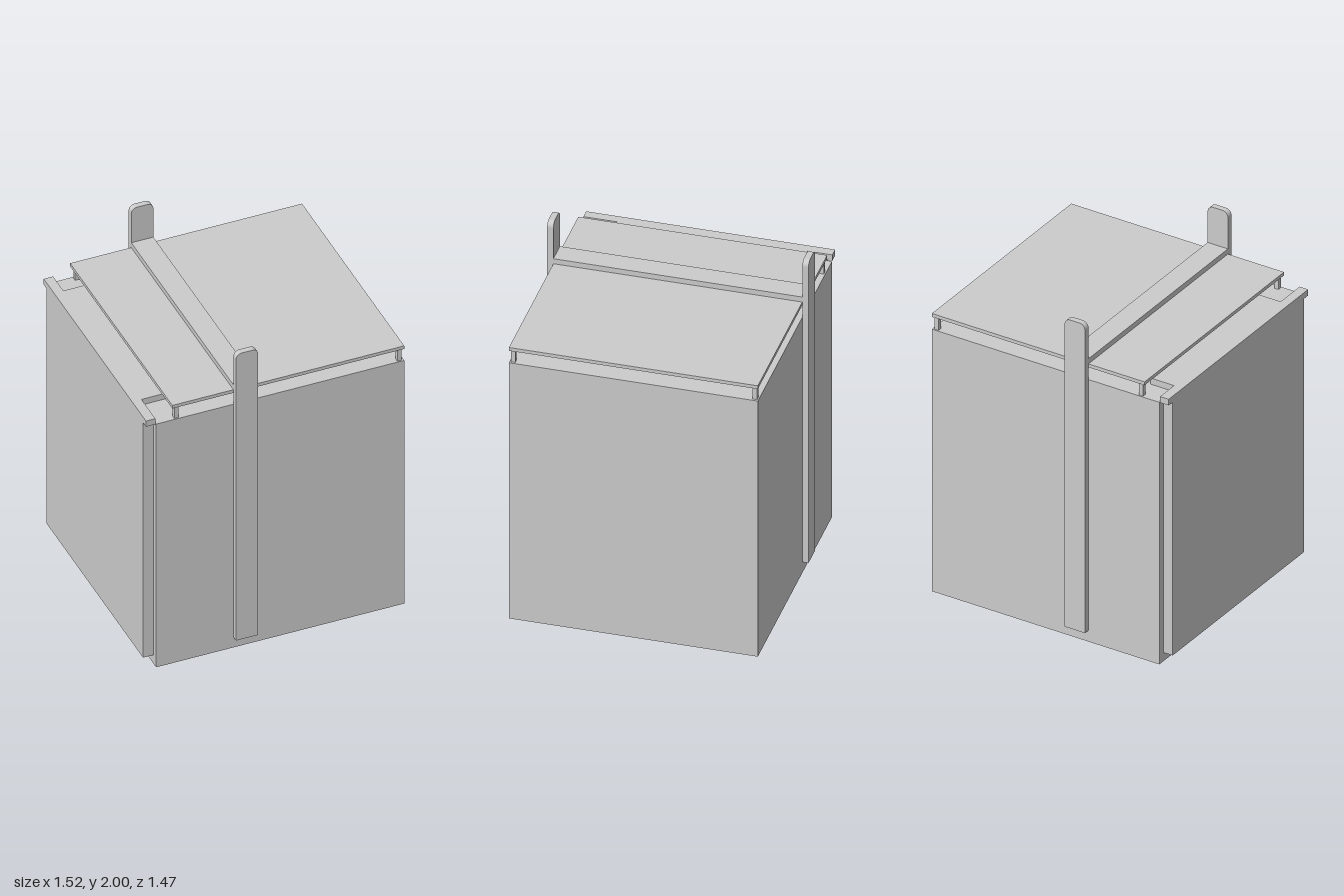
import * as THREE from 'three';

const material = new THREE.MeshStandardMaterial({ color: 0xcccccc, flatShading: true });

function addMesh(group, name, geometry) {
  const mesh = new THREE.Mesh(geometry, material);
  mesh.name = name;
  group.add(mesh);
  return mesh;
}

// Box given by its extents on each axis
function addBox(group, name, [x0, x1], [y0, y1], [z0, z1]) {
  const mesh = addMesh(group, name, new THREE.BoxGeometry(x1 - x0, y1 - y0, z1 - z0));
  mesh.position.set((x0 + x1) / 2, (y0 + y1) / 2, (z0 + z1) / 2);
  return mesh;
}

export function createModel() {
  const model = new THREE.Group();
  model.name = 'case';

  // Main block and the panel on its side
  addBox(model, 'body', [-0.7, 0.76], [0, 1.64], [-0.7, 0.7]);
  addBox(model, 'sidePanel', [-0.76, -0.7], [0.055, 1.64], [-0.66, 0.66]);

  // Edge plate on top, notched at both inner corners (drawn in x, -z)
  const plate = new THREE.Shape([
    [-0.76, -0.7], [-0.705, -0.7], [-0.705, -0.51], [-0.555, -0.51],
    [-0.555, 0.56], [-0.705, 0.56], [-0.705, 0.7], [-0.76, 0.7],
  ].map(([x, y]) => new THREE.Vector2(x, y)));
  const plateGeometry = new THREE.ExtrudeGeometry(plate, { depth: 0.038, bevelEnabled: false });
  plateGeometry.rotateX(-Math.PI / 2);
  addMesh(model, 'edgePlate', plateGeometry).position.y = 1.64;

  // Raised lid on four corner posts
  addBox(model, 'lid', [-0.605, 0.76], [1.717, 1.738], [-0.7, 0.7]);
  for (const x of [-0.577, 0.735]) {
    for (const z of [-0.68, 0.68]) {
      addBox(model, 'lidPost', [x - 0.0125, x + 0.0125], [1.64, 1.717], [z - 0.0125, z + 0.0125]);
    }
  }

  // Crossbar over the lid
  addBox(model, 'crossbar', [-0.245, -0.115], [1.738, 1.77], [-0.7, 0.7]);

  // Upright straps, front and back, with rounded top corners
  const r = 0.035;
  const strap = new THREE.Shape();
  strap.moveTo(-0.245, 0.07);
  strap.lineTo(-0.115, 0.07);
  strap.lineTo(-0.115, 2 - r);
  strap.absarc(-0.115 - r, 2 - r, r, 0, Math.PI / 2, false);
  strap.absarc(-0.245 + r, 2 - r, r, Math.PI / 2, Math.PI, false);
  strap.closePath();
  const strapGeometry = new THREE.ExtrudeGeometry(strap, { depth: 0.035, bevelEnabled: false, curveSegments: 6 });
  addMesh(model, 'frontStrap', strapGeometry).position.z = 0.7;
  addMesh(model, 'backStrap', strapGeometry).position.z = -0.735;

  return model;
}
